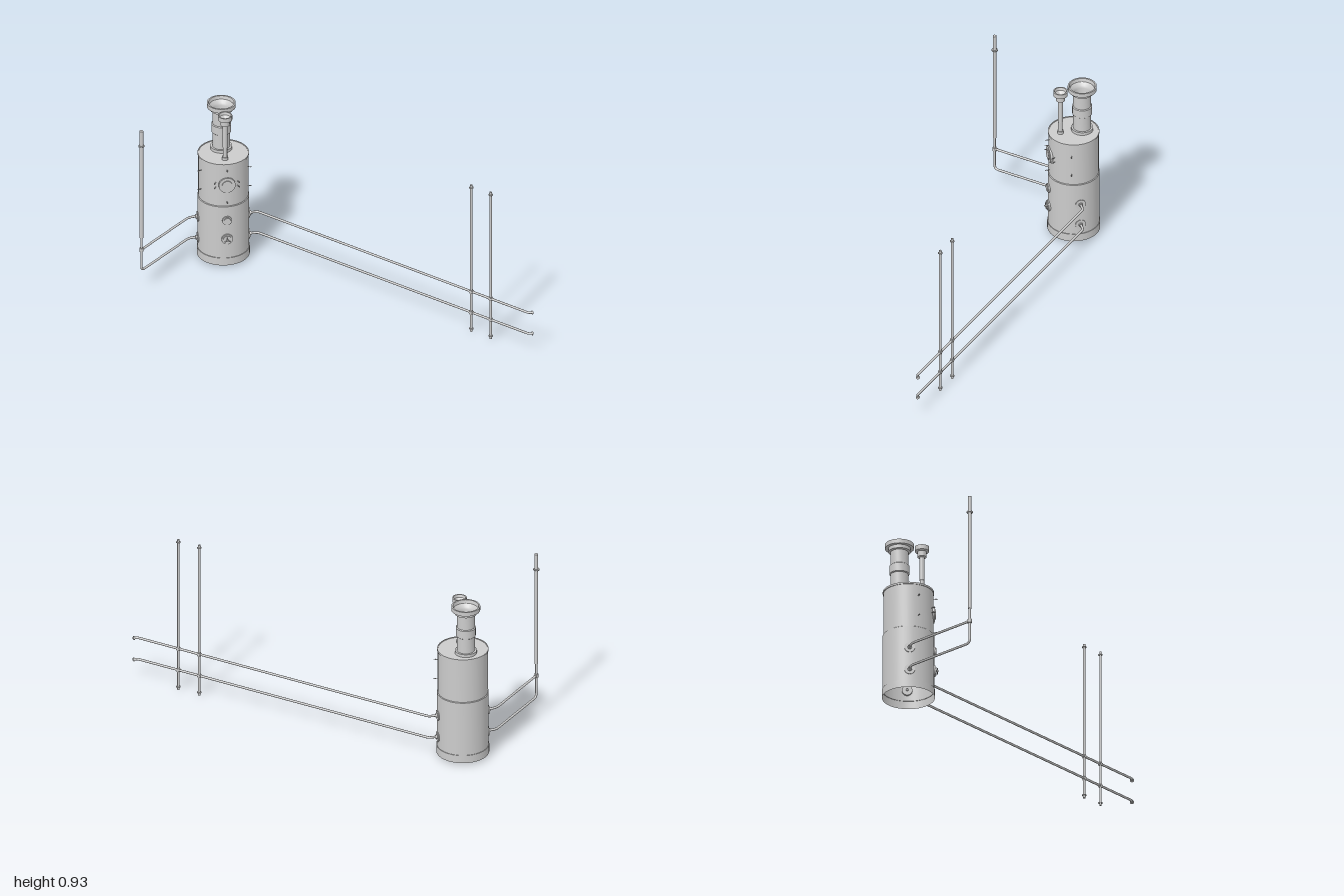
import * as THREE from 'three';
import { toCreasedNormals } from 'three/addons/utils/BufferGeometryUtils.js';

const grey = new THREE.MeshStandardMaterial({ color: 0xcccccc, side: THREE.DoubleSide });
const TANK = { x: 0.201, z: -0.865 };
const PIPE_R = 0.0062;
const V = (x, y, z) => new THREE.Vector3(x, y, z);

function add(parent, name, geometry, x = 0, y = 0, z = 0) {
  const mesh = new THREE.Mesh(geometry, grey);
  mesh.name = name;
  mesh.position.set(x, y, z);
  parent.add(mesh);
  return mesh;
}

// Turned part from [radius, height] pairs
function turned(profile, sides) {
  const geo = new THREE.LatheGeometry(profile.map(([r, y]) => new THREE.Vector2(r, y)), sides);
  return toCreasedNormals(geo, 0.6);
}

// Upright cylinder between two heights
function upright(parent, name, r, y0, y1, x, z, sides = 16) {
  return add(parent, name, new THREE.CylinderGeometry(r, r, y1 - y0, sides), x, (y0 + y1) / 2, z);
}

// Disc lying across local z, between two depths
function disc(parent, name, r, z0, z1, sides = 24) {
  const geo = new THREE.CylinderGeometry(r, r, z1 - z0, sides).rotateX(Math.PI / 2);
  return add(parent, name, geo, 0, 0, (z0 + z1) / 2);
}

// Group on the tank axis whose local +z points outwards at an angle in degrees
function onTank(parent, name, degrees, y) {
  const g = new THREE.Group();
  g.name = name;
  g.position.set(TANK.x, y, TANK.z);
  g.rotation.y = THREE.MathUtils.degToRad(degrees);
  parent.add(g);
  return g;
}

// Pipe through points with rounded corners
function pipe(parent, name, points, bend) {
  const g = new THREE.Group();
  g.name = name;
  parent.add(g);
  let from = points[0];
  for (let i = 1; i < points.length; i++) {
    const corner = points[i];
    const last = i === points.length - 1;
    const toPrev = points[i - 1].clone().sub(corner).normalize();
    const end = last ? corner : corner.clone().addScaledVector(toPrev, bend);
    add(g, 'straightPipe', new THREE.TubeGeometry(new THREE.LineCurve3(from, end), 1, PIPE_R, 12));
    if (last) break;
    const toNext = points[i + 1].clone().sub(corner).normalize();
    const next = corner.clone().addScaledVector(toNext, bend);
    add(g, 'pipeBend', new THREE.TubeGeometry(new THREE.QuadraticBezierCurve3(end, corner, next), 8, PIPE_R, 12));
    from = next;
  }
  return g;
}

export function createModel() {
  const model = new THREE.Group();
  model.name = 'boiler';

  // Tank: open skirt, two shell courses and a closed, rimmed top
  add(model, 'tank', turned([
    [0.135, 0.012], [0.135, 0.055], [0.132, 0.055], [0.132, 0.355],
    [0.128, 0.358], [0.128, 0.594], [0.131, 0.594], [0.131, 0.604],
    [0.126, 0.604], [0.126, 0.601], [0, 0.601],
  ], 48), TANK.x, 0, TANK.z);

  // Large chimney with an open funnel top
  add(model, 'mainChimney', turned([
    [0.056, 0.6], [0.056, 0.617], [0.046, 0.617], [0.046, 0.699],
    [0.051, 0.703], [0.051, 0.748], [0.046, 0.752], [0.046, 0.825],
    [0.057, 0.828], [0.057, 0.847], [0.074, 0.847], [0.074, 0.87],
    [0.066, 0.87], [0.062, 0.852], [0.046, 0.838], [0.042, 0.825], [0.042, 0.603],
  ], 24), 0.231, 0, -0.9);

  // Small chimney with a stepped cup
  add(model, 'smallChimney', turned([
    [0.016, 0.6], [0.016, 0.617], [0.0115, 0.617], [0.0115, 0.672],
    [0.0135, 0.672], [0.0135, 0.8], [0.023, 0.803], [0.023, 0.832],
    [0.037, 0.835], [0.037, 0.86], [0.031, 0.86], [0.027, 0.846],
    [0.017, 0.838], [0.009, 0.825], [0.009, 0.603],
  ], 20), 0.151, 0, -0.817);

  // Round hatches: [name, height, outer radius, inner radius, how far it stands out]
  const hatches = [
    ['upperHatch', 0.482, 0.043, 0.027, 0.134],
    ['middleHatch', 0.275, 0.025, 0.018, 0.138],
    ['lowerHatch', 0.166, 0.029, 0.022, 0.138],
  ];
  for (const [name, y, outer, inner, face] of hatches) {
    const g = onTank(model, name, -45, y);
    disc(g, 'hatchFlange', outer, 0.118, face, 32);
    disc(g, 'hatchCover', inner, face - 0.005, face + 0.005, 32);
    if (name === 'lowerHatch') {
      // Three-armed handle
      disc(g, 'handleHub', 0.005, face, face + 0.015, 12);
      for (let i = 0; i < 3; i++) {
        const arm = add(g, 'handleArm', new THREE.BoxGeometry(0.004, 0.018, 0.004).translate(0, 0.009, 0), 0, 0, face + 0.011);
        arm.rotation.z = (i * 2 * Math.PI) / 3;
      }
    }
  }

  // Short pins around the upper shell: [angle, height]
  const pins = [[-45, 0.57], [-45, 0.384]];
  for (const side of [-1, 1]) {
    for (const y of [0.468, 0.494]) pins.push([-45 + side * 26, y]);
    for (const y of [0.421, 0.532]) pins.push([-45 + side * 70, y]);
  }
  for (const [angle, y] of pins) {
    const g = onTank(model, 'pin', angle, y);
    disc(g, 'pinShaft', 0.0018, 0.12, 0.15, 8);
    disc(g, 'pinCollar', 0.0032, 0.138, 0.142, 8);
  }

  // Two levels of pipework with a flange at each tank joint
  const levels = [0.235, 0.112];
  for (const y of levels) {
    for (const angle of [45, -135]) {
      const g = onTank(model, 'pipeFlange', angle, y);
      disc(g, 'flangePlate', 0.027, 0.12, 0.135);
      disc(g, 'flangeCollar', 0.011, 0.13, 0.143, 16);
    }

    // Long front run, ending in a short turned-out stub
    pipe(model, 'frontPipe', [
      V(0.28, y, -0.786), V(0.328, y, -0.738), V(0.328, y, 0.974), V(0.343, y, 0.991),
    ], 0.012);
    const stub = disc(model, 'endFlange', 0.0105, -0.002, 0.002, 16);
    stub.position.set(0.341, y, 0.989);
    stub.rotation.y = Math.PI / 4;
    const cap = disc(model, 'endCap', 0.0065, -0.003, 0.003, 12);
    cap.position.set(0.343, y, 0.991);
    cap.rotation.y = Math.PI / 4;
  }

  // Side run: the upper pipe ends in a tee, the lower one turns up
  pipe(model, 'upperSidePipe', [V(0.12, 0.235, -0.946), V(0.076, 0.235, -0.989), V(-0.332, 0.235, -0.989)], 0.03);
  pipe(model, 'lowerSidePipe', [
    V(0.12, 0.112, -0.946), V(0.076, 0.112, -0.989), V(-0.332, 0.112, -0.989), V(-0.332, 0.31, -0.989),
  ], 0.024);
  upright(model, 'sideTee', 0.0105, 0.225, 0.245, -0.332, -0.989);
  const branch = upright(model, 'sideTeeBranch', 0.009, 0, 0.016, -0.326, -0.989);
  branch.position.y = 0.235;
  branch.rotation.z = Math.PI / 2;

  // Tall side riser
  upright(model, 'sideRiser', 0.0098, 0.305, 0.934, -0.332, -0.989);
  upright(model, 'sideRiserFlange', 0.016, 0.843, 0.849, -0.332, -0.989, 20);

  // Pair of uprights crossing the front pipes
  for (const z of [0.735, 0.612]) {
    upright(model, 'frontUpright', PIPE_R, 0, 0.864, 0.328, z, 12);
    for (const y of [0.016, 0.848]) upright(model, 'uprightFlange', 0.0115, y - 0.002, y + 0.002, 0.328, z);
    for (const y of levels) {
      upright(model, 'crossFitting', 0.009, y - 0.01, y + 0.01, 0.328, z);
      const cross = disc(model, 'crossFittingBranch', 0.009, -0.01, 0.01, 16);
      cross.position.set(0.328, y, z);
    }
  }
  return model;
}
